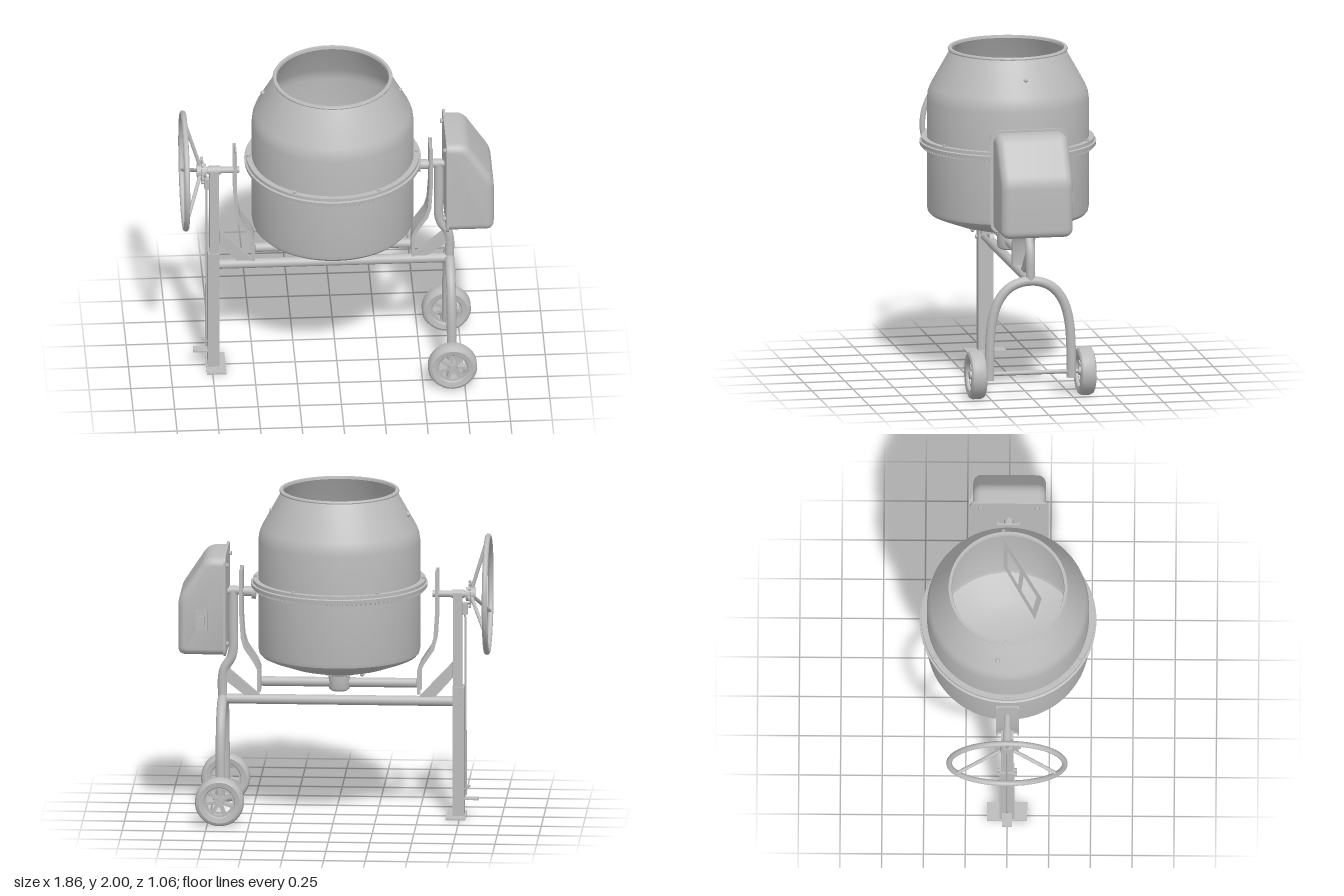
import * as THREE from 'three';
import { toCreasedNormals } from 'three/addons/utils/BufferGeometryUtils.js';

const V = (x, y, z) => new THREE.Vector3(x, y, z);
const CX = -0.025; // drum axis
const AXLE_Y = 1.365; // tilting shaft height

export function createModel() {
  const model = new THREE.Group();
  model.name = 'cementMixer';
  const grey = new THREE.MeshStandardMaterial({ color: 0xbcbcbc });
  grey.name = 'paintedSteel';
  grey.side = THREE.DoubleSide;

  const add = (name, geo, x = 0, y = 0, z = 0, parent = model) => {
    const mesh = new THREE.Mesh(geo, grey);
    mesh.name = name;
    mesh.position.set(x, y, z);
    parent.add(mesh);
    return mesh;
  };
  const box = (name, x0, x1, y0, y1, z0, z1) =>
    add(name, new THREE.BoxGeometry(x1 - x0, y1 - y0, z1 - z0), (x0 + x1) / 2, (y0 + y1) / 2, (z0 + z1) / 2);
  // straight round bar between two points
  const rod = (name, a, b, r, r2 = r, sides = 20) => {
    const d = b.clone().sub(a);
    const m = add(name, new THREE.CylinderGeometry(r2, r, d.length(), sides));
    m.position.copy(a).addScaledVector(d, 0.5);
    m.quaternion.setFromUnitVectors(V(0, 1, 0), d.normalize());
    return m;
  };
  const tube = (name, pts, r) =>
    add(name, new THREE.TubeGeometry(new THREE.CatmullRomCurve3(pts, false, 'centripetal'), 48, r, 16));
  const lathe = (pts, seg = 72) =>
    toCreasedNormals(new THREE.LatheGeometry(pts.map(p => new THREE.Vector2(...p)), seg), 0.5);
  // polygon with softened corners
  const roundPoly = (pts, r) => {
    const s = new THREE.Shape(), v = pts.map(p => new THREE.Vector2(...p)), n = v.length;
    v.forEach((p, i) => {
      const toward = q => p.clone().add(q.clone().sub(p).setLength(r));
      const a = toward(v[(i + n - 1) % n]), b = toward(v[(i + 1) % n]);
      i ? s.lineTo(a.x, a.y) : s.moveTo(a.x, a.y);
      s.quadraticCurveTo(p.x, p.y, b.x, b.y);
    });
    s.closePath();
    return s;
  };
  // plate of given depth, centred on z = 0
  const slab = (shape, depth) =>
    toCreasedNormals(new THREE.ExtrudeGeometry(shape, { depth, bevelEnabled: false, curveSegments: 16 })
      .translate(0, 0, -depth / 2), 0.5);
  const poly = pts => new THREE.Shape(pts.map(p => new THREE.Vector2(...p)));
  const gear = (n, root, tip, hole, depth) => {
    const pts = [];
    for (let i = 0; i < n; i++) {
      [[0, root], [0.3, root], [0.4, tip], [0.85, tip], [0.98, root]].forEach(([k, r]) => {
        const a = (i + k) / n * Math.PI * 2;
        pts.push([Math.cos(a) * r, Math.sin(a) * r]);
      });
    }
    const s = poly(pts);
    s.holes.push(new THREE.Path().absarc(0, 0, hole, 0, Math.PI * 2, true));
    return slab(s, depth);
  };

  // drum: outer wall, rolled rim, inner wall
  add('drum', lathe([
    [0, 0.9], [0.2, 0.9], [0.3, 0.925], [0.43, 0.972], [0.465, 0.988], [0.48, 1.005], [0.485, 1.03],
    [0.485, 1.69], [0.48, 1.73], [0.465, 1.77], [0.345, 1.985], [0.358, 1.985], [0.36, 1.992], [0.356, 2],
    [0.338, 2], [0.335, 1.985], [0.452, 1.77], [0.468, 1.73], [0.473, 1.69], [0.473, 1.03],
    [0.46, 1.0], [0.3, 0.94], [0.2, 0.912], [0, 0.912]], 96), CX);
  add('drumFlange', lathe([[0.48, 1.41], [0.528, 1.41], [0.53, 1.432], [0.518, 1.436], [0.518, 1.455],
    [0.48, 1.455]], 96), CX);
  add('ringGear', gear(110, 0.497, 0.515, 0.48, 0.02).rotateX(Math.PI / 2), CX, 1.403);
  for (let i = 0; i < 6; i++) {
    const a = i * Math.PI / 3;
    add('flangeBolt', new THREE.CylinderGeometry(0.011, 0.011, 0.014, 6),
      CX + 0.503 * Math.cos(a), 1.46, 0.503 * Math.sin(a));
  }
  [[0.38, 1.872, -0.03], [-0.44, 1.862, -0.06], [-0.175, 0.92, -0.245], [0.125, 0.92, 0.245]].forEach(p =>
    add('drumBolt', new THREE.SphereGeometry(0.014, 12, 8), ...p));

  // mixing blades: ladder frames spanned between four corners
  const blade = (a, b, c, d) => {
    const pos = [], at = (u, v) => a.clone().lerp(b, u).lerp(d.clone().lerp(c, u), v);
    const patch = (u0, u1, v0, v1) => {
      const p = [at(u0, v0), at(u1, v0), at(u1, v1), at(u0, v1)];
      [0, 1, 2, 0, 2, 3].forEach(i => pos.push(...p[i].toArray()));
    };
    patch(0, 0.2, 0, 1);
    patch(0.8, 1, 0, 1);
    [[0, 0.1], [0.45, 0.55], [0.88, 1]].forEach(([v0, v1]) => patch(0.2, 0.8, v0, v1));
    const g = new THREE.BufferGeometry();
    g.setAttribute('position', new THREE.Float32BufferAttribute(pos, 3));
    g.computeVertexNormals();
    add('mixingBlade', g);
  };
  blade(V(-0.28, 1.0, -0.23), V(-0.14, 1.05, -0.18), V(-0.25, 1.7, -0.01), V(-0.41, 1.8, -0.05));
  blade(V(0.27, 1.0, 0.2), V(0.12, 1.05, 0.16), V(0.22, 1.7, -0.03), V(0.36, 1.8, -0.03));

  // bearing hub under the drum
  add('drumHub', lathe([[0, 0.765], [0.045, 0.765], [0.06, 0.775], [0.065, 0.79], [0.065, 0.86], [0.075, 0.87],
    [0.105, 0.872], [0.108, 0.9], [0, 0.9]], 40), CX);

  // tilting yoke
  rod('yokeTube', V(-0.49, 0.815, 0), V(0.44, 0.815, 0), 0.029);
  const strip = t => poly([[0.47, 0.76], [0.47, 0.9], [0.49, 0.95], [0.55, 1.04], [0.567, 1.1], [0.577, 1.25],
    [0.577, 1.51], [0.577 + t, 1.51], [0.577 + t, 1.25], [0.567 + t, 1.09], [0.55 + t, 1.03], [0.49 + t, 0.94],
    [0.47 + t, 0.9], [0.47 + t, 0.76]]);
  for (const s of [1, -1]) {
    const arm = new THREE.Group();
    arm.name = s > 0 ? 'yokeArmLeft' : 'yokeArmRight';
    arm.position.x = CX;
    if (s < 0) arm.rotation.y = Math.PI;
    add('armWeb', slab(strip(0.009), 0.13), 0, 0, 0, arm);
    for (const z of [-0.065, 0.065]) add('armFlange', slab(strip(0.021), 0.008), 0, 0, z, arm);
    model.add(arm);
  }

  // tilting shafts
  rod('wheelShaft', V(-0.84, AXLE_Y, 0), V(-0.585, AXLE_Y, 0), 0.02);
  rod('shaftSleeve', V(-0.775, AXLE_Y, 0), V(-0.7, AXLE_Y, 0), 0.026);
  rod('driveShaft', V(0.48, AXLE_Y, 0), V(0.66, AXLE_Y, 0), 0.018);
  rod('pinion', V(0.475, AXLE_Y, 0), V(0.5, AXLE_Y, 0), 0.045);
  rod('shaftBoss', V(0.5, AXLE_Y, 0), V(0.545, AXLE_Y, 0), 0.03);
  rod('driveSleeve', V(0.575, AXLE_Y + 0.005, 0), V(0.635, AXLE_Y + 0.005, 0), 0.027);

  // hand wheel with locking disc
  add('handWheelRim', new THREE.TorusGeometry(0.347, 0.017, 14, 72).rotateY(Math.PI / 2), -0.915, AXLE_Y);
  for (let i = 0; i < 3; i++) {
    const a = Math.PI / 2 + i * Math.PI * 2 / 3, at = (x, r) => V(x, AXLE_Y + r * Math.sin(a), r * Math.cos(a));
    rod('handWheelSpoke', at(-0.82, 0.03), at(-0.915, 0.345), 0.011);
  }
  rod('handWheelHub', V(-0.84, AXLE_Y, 0), V(-0.785, AXLE_Y, 0), 0.042);
  add('lockingDisc', gear(16, 0.07, 0.085, 0.02, 0.012).rotateY(Math.PI / 2), -0.808, AXLE_Y);

  // supporting post, foot and pedal
  box('upperPost', -0.763, -0.71, 0.7, 1.375, -0.038, 0.038);
  box('lowerPost', -0.775, -0.705, 0, 0.8, -0.045, 0.045);
  box('footPlate', -0.785, -0.668, 0, 0.01, -0.12, 0.12);
  for (const z of [-0.046, 0.046])
    for (const y of [0.7, 0.77])
      rod('postBolt', V(-0.74, y, z * 0.9), V(-0.74, y, z * 1.25), 0.012, 0.012, 6);
  rod('pedalRod', V(-0.785, 0.13, 0), V(-0.78, 1.29, 0), 0.006, 0.006, 8);
  box('pedal', -0.862, -0.77, 0.105, 0.114, -0.03, 0.03);
  rod('pedalSpring', V(-0.81, 0.19, 0), V(-0.77, 0.16, 0), 0.006, 0.006, 8);
  box('lockLever', -0.795, -0.765, 1.24, 1.31, -0.02, 0.02);

  // lower frame with gussets
  rod('frameTube', V(-0.71, 0.705, 0), V(0.67, 0.705, 0), 0.03);
  add('gussetRight', slab(poly([[-0.705, 0.945], [-0.705, 0.85], [-0.6, 0.732], [-0.505, 0.732]]), 0.03));
  add('gussetLeft', slab(poly([[0.645, 0.9], [0.45, 0.732], [0.545, 0.732], [0.66, 0.82]]), 0.03));
  tube('drivePost', [V(0.612, 1.375, 0), V(0.612, 1.15, 0), V(0.612, 1.01, 0), V(0.625, 0.955, 0),
    V(0.662, 0.895, 0), V(0.675, 0.84, 0), V(0.675, 0.7, 0)], 0.028);
  const half = [[0.25, 0.11], [0.248, 0.3], [0.235, 0.46], [0.2, 0.58], [0.14, 0.66], [0.07, 0.697]];
  tube('wheelFork', [...half.map(([z, y]) => V(0.675, y, z)), V(0.675, 0.707, 0),
    ...half.slice().reverse().map(([z, y]) => V(0.675, y, -z))], 0.029);

  // axle and wheels
  rod('axle', V(0.675, 0.147, -0.375), V(0.675, 0.147, 0.375), 0.013);
  const disc = new THREE.Shape().absarc(0, 0, 0.1, 0, Math.PI * 2);
  for (let i = 0; i < 7; i++) {
    const a = i * Math.PI * 2 / 7;
    disc.holes.push(new THREE.Path().absarc(0, 0, 0.08, a, a + 0.64, false)
      .absarc(0, 0, 0.032, a + 0.5, a + 0.14, true));
  }
  for (const s of [1, -1]) {
    const wheel = new THREE.Group();
    wheel.name = s > 0 ? 'frontWheel' : 'backWheel';
    wheel.position.set(0.675, 0.147, s * 0.333);
    add('tyre', lathe([[0.09, -0.035], [0.095, -0.042], [0.125, -0.047], [0.139, -0.04], [0.147, -0.022],
      [0.147, 0.022], [0.139, 0.04], [0.125, 0.047], [0.095, 0.042], [0.09, 0.035], [0.09, -0.035]], 48)
      .rotateX(Math.PI / 2), 0, 0, 0, wheel);
    add('wheelDisc', slab(disc, 0.05), 0, 0, 0, wheel);
    add('wheelHub', new THREE.CylinderGeometry(0.025, 0.025, 0.08, 20).rotateX(Math.PI / 2), 0, 0, 0, wheel);
    model.add(wheel);
  }

  // motor housing: soft-edged hood cut flat against its back plate
  const hood = new THREE.ExtrudeGeometry(roundPoly([[0.55, 1.612], [0.765, 1.612], [0.932, 1.36], [0.932, 1.013],
    [0.55, 1.013]], 0.05), { depth: 0.336, bevelSize: 0.05, bevelThickness: 0.05, bevelOffset: -0.05,
    bevelSegments: 6, curveSegments: 8 }).translate(0, 0, -0.165);
  const p = hood.attributes.position;
  for (let i = 0; i < p.count; i++) p.setX(i, Math.max(p.getX(i), 0.652));
  add('motorHood', toCreasedNormals(hood, 0.6));
  add('motorBackPlate', slab(roundPoly([[-0.235, 1.007], [0.235, 1.007], [0.235, 1.627], [-0.235, 1.627]], 0.055),
    0.014).rotateY(Math.PI / 2), 0.652, 0, 0.004);
  box('switchPlate', 0.755, 0.825, 1.17, 1.29, -0.226, -0.212);
  box('switchButton', 0.772, 0.808, 1.2, 1.26, -0.238, -0.224);
  for (const z of [-0.17, 0.17])
    for (const y of [1.08, 1.56])
      rod('plateBolt', V(0.63, y, z), V(0.648, y, z), 0.013, 0.013, 6);
  return model;
}
